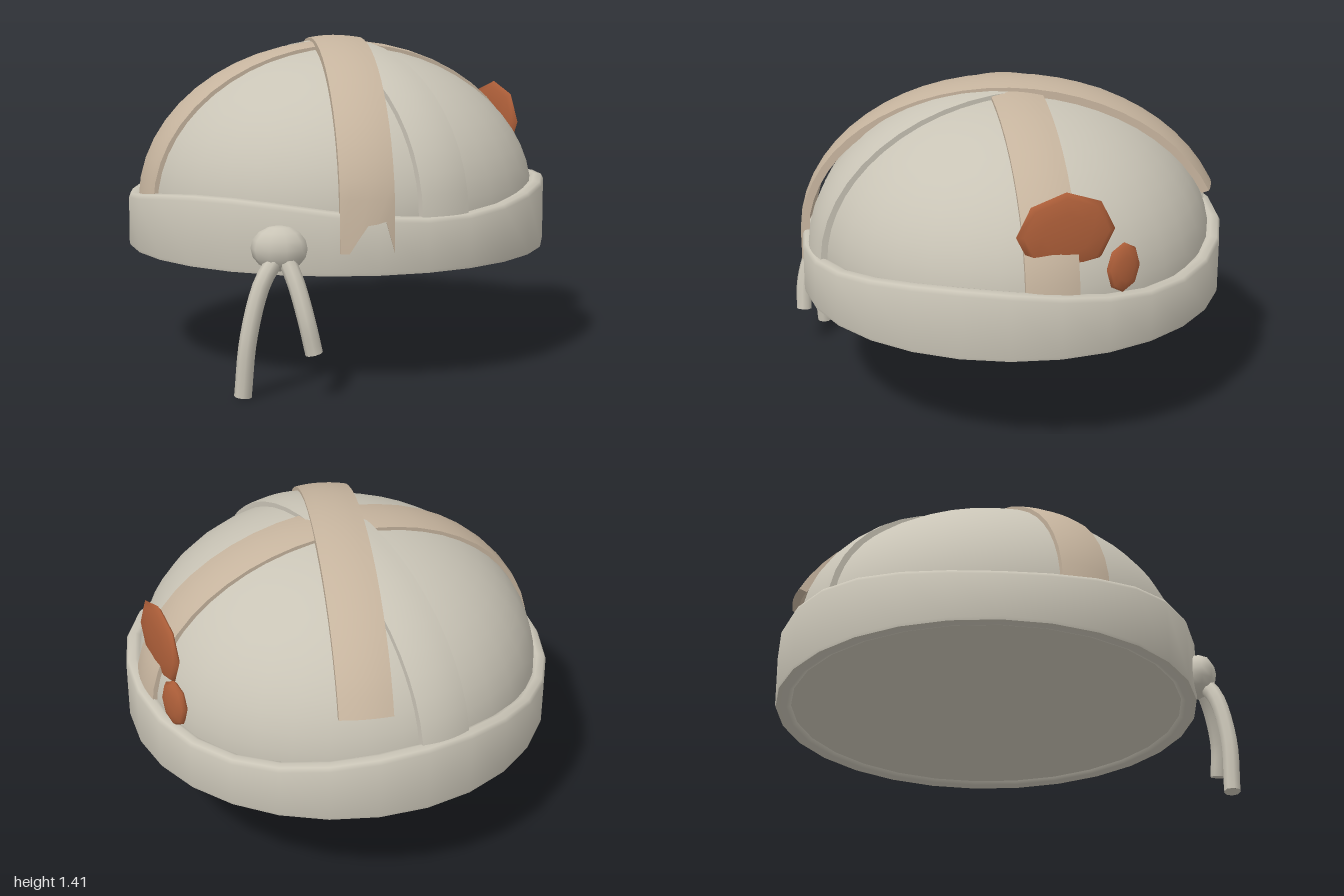
import * as THREE from 'three';
import { toCreasedNormals } from 'three/addons/utils/BufferGeometryUtils.js';

const BASE_Y = 0.7;   // height of the dome's ellipse centre
const CENTRE_Z = -0.06;

const grey = new THREE.MeshStandardMaterial({ color: 0xc9c4b6 });
const tan = new THREE.MeshStandardMaterial({ color: 0xc6b49e });
const rust = new THREE.MeshStandardMaterial({ color: 0xb0603a });

function add(parent, name, geometry, material) {
  const mesh = new THREE.Mesh(geometry, material);
  mesh.name = name;
  parent.add(mesh);
  return mesh;
}

const lathe = (points, segments) =>
  new THREE.LatheGeometry(points.map(([r, y]) => new THREE.Vector2(r, y)), segments);

// Squashed half sphere
function domeGeometry() {
  return new THREE.SphereGeometry(1, 36, 14, 0, Math.PI * 2, 0, Math.PI / 2)
    .scale(0.885, 0.67, 0.885).translate(0, BASE_Y, 0);
}

// Soft brim ring whose top edge rises and falls three times around
function bandGeometry() {
  const g = lathe([[0.87, 0.495], [0.89, 0.487], [0.937, 0.487], [0.94, 0.5], [0.94, 0.73],
    [0.93, 0.748], [0.9, 0.752], [0.87, 0.74], [0.87, 0.495]], 28);
  const p = g.attributes.position;
  for (let i = 0; i < p.count; i++) {
    if (p.getY(i) > 0.6) {
      p.setY(i, p.getY(i) + 0.038 * Math.cos(3 * Math.atan2(p.getZ(i), p.getX(i))));
    }
  }
  return toCreasedNormals(g, 1.2);
}

// Arched strap: a thin elliptical arc extruded across its width, slightly crowned.
// tailY adds a straight tail at the start, cut by the tailCuts heights.
function strapGeometry({ rx, ry, from, to, tailY, tailCuts }) {
  const width = 0.225, thick = 0.035, outer = [], inner = [];
  if (tailY) {
    outer.push([rx, tailY]);
    inner.push([rx - thick, tailY]);
  }
  for (let i = 0; i <= 24; i++) {
    const a = from + (to - from) * i / 24, c = Math.cos(a), s = Math.sin(a);
    outer.push([rx * c, BASE_Y + ry * s]);
    inner.push([(rx - thick) * c, BASE_Y + (ry - thick) * s]);
  }
  const shape = new THREE.Shape([...outer, ...inner.reverse()].map(([x, y]) => new THREE.Vector2(x, y)));
  const g = new THREE.ExtrudeGeometry(shape, { depth: width, steps: 6, bevelEnabled: false });
  const p = g.attributes.position;
  for (let i = 0; i < p.count; i++) {
    const t = p.getZ(i) / width, y = p.getY(i);
    const crown = 1 - 0.015 * (2 * t - 1) ** 2;
    p.setX(i, p.getX(i) * crown);
    if (tailCuts && y < tailY + 0.01) p.setY(i, tailY + tailCuts[Math.round(t * 6)]);
    else p.setY(i, BASE_Y + (y - BASE_Y) * crown);
  }
  g.translate(0, 0, -width / 2);
  return toCreasedNormals(g, 0.6);
}

// Flattened low-sided disc facing outward
function addDisc(parent, name, pos, radius, height, angle) {
  const g = new THREE.SphereGeometry(1, 8, 6);
  g.rotateX(Math.PI / 2).scale(radius, height, 0.03);
  const disc = add(parent, name, g, rust);
  disc.position.set(...pos);
  disc.rotation.y = angle;
}

// Round cord with a closed end
function addCord(parent, name, points) {
  const curve = new THREE.CatmullRomCurve3(points.map(p => new THREE.Vector3(...p)));
  const cord = new THREE.Group();
  cord.name = name;
  parent.add(cord);
  add(cord, 'cord', new THREE.TubeGeometry(curve, 12, 0.036, 8), grey);
  const cap = add(cord, 'cordEnd', new THREE.CircleGeometry(0.036, 8), grey);
  const end = curve.getPoint(1);
  cap.position.copy(end);
  cap.lookAt(end.clone().add(curve.getTangent(1)));
}

export function createModel() {
  const model = new THREE.Group();
  model.name = 'wrappedCap';

  // Cap body, closed underneath
  const cap = new THREE.Group();
  cap.name = 'cap';
  cap.position.z = CENTRE_Z;
  model.add(cap);
  add(cap, 'dome', domeGeometry(), grey);
  add(cap, 'brimBand', bandGeometry(), grey);
  const underside = add(cap, 'underside', new THREE.CircleGeometry(0.872, 28), grey);
  underside.rotation.x = Math.PI / 2;
  underside.position.y = 0.5;

  // Three crossing straps, lowest first; dir is the (x, z) heading of the start
  const straps = [
    { name: 'sideStrap', dir: [0.81, -0.36], material: tan, rx: 0.91, ry: 0.69, from: 0.02, to: Math.PI - 0.02 },
    { name: 'diagonalStrap', dir: [0.48, 0.77], material: grey, rx: 0.92, ry: 0.695, from: 0.02, to: Math.PI - 0.02 },
    { name: 'topStrap', dir: [0.155, 0.9], material: tan, rx: 0.95, ry: 0.712, from: 0.14, to: Math.PI - 0.36,
      tailY: 0.58, tailCuts: [0, 0.13, 0.12, 0.115, 0.06, 0, 0] },
  ];
  for (const s of straps) {
    add(cap, s.name, strapGeometry(s), s.material).rotation.y = Math.atan2(-s.dir[1], s.dir[0]);
  }

  // Rust-coloured discs on the left side
  addDisc(model, 'largeDisc', [0.735, 1.0, -0.455], 0.21, 0.175, 2.07);
  addDisc(model, 'smallDisc', [0.655, 0.84, -0.68], 0.08, 0.11, 2.31);

  // Knot with two hanging cords
  const knot = add(model, 'knot', new THREE.SphereGeometry(1, 10, 8), grey);
  knot.scale.set(0.118, 0.095, 0.08);
  knot.position.set(-0.2, 0.6, 0.865);
  addCord(model, 'longCord', [[-0.2, 0.58, 0.88], [-0.265, 0.47, 0.93], [-0.32, 0.25, 0.964], [-0.345, 0.005, 0.96]]);
  addCord(model, 'shortCord', [[-0.18, 0.58, 0.88], [-0.13, 0.47, 0.93], [-0.085, 0.32, 0.964], [-0.055, 0.185, 0.962]]);

  return model;
}
